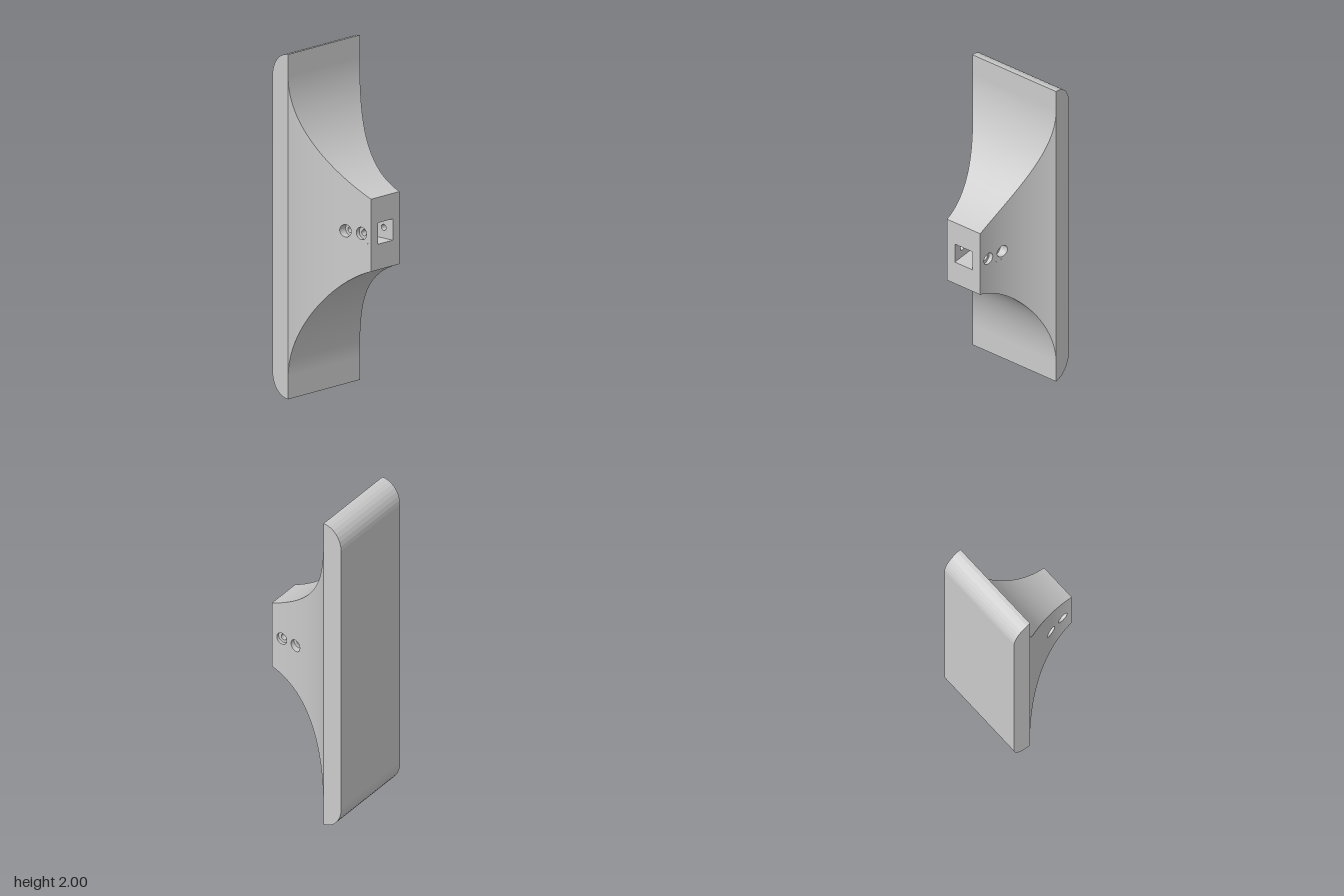
import * as THREE from 'three';
import { ParametricGeometry } from 'three/addons/geometries/ParametricGeometry.js';

const MID = 1;                          // height of the symmetry plane
const FRONT = 0.295, JOINT = -0.175;    // neck runs between these z values
const HALF = 0.295;                     // half width of the plate
const SOCKET = 0.062, SOCKET_END = 0.02;
const BORE = 0.036, SCREW = 0.018, BORE_FLOOR = 0.1;
const HOLES = [0.12, 0.225], CELL = 0.0525;

// Circular sweeps giving the neck's half width and half height at depth z
const halfWidth = z => 0.117 + 0.7095 - Math.sqrt(0.7095 ** 2 - (FRONT - z) ** 2);
const halfHeight = z => 0.87 - Math.sqrt(Math.max(0, 0.698 ** 2 - (0.523 - z) ** 2));
const lerp = THREE.MathUtils.lerp;

export function createModel() {
  const model = new THREE.Group();
  const solid = new THREE.MeshStandardMaterial({ color: 0xcccccc });
  const faceted = new THREE.MeshStandardMaterial({ color: 0xcccccc, flatShading: true });
  const open = new THREE.MeshStandardMaterial({ color: 0xcccccc, side: THREE.DoubleSide });

  const add = (name, geometry, material = open, parent = model) => {
    const mesh = new THREE.Mesh(geometry, material);
    mesh.name = name;
    parent.add(mesh);
    return mesh;
  };
  const patch = (name, fn, nu, nv, parent) =>
    add(name, new ParametricGeometry((u, v, p) => p.set(...fn(u, v)), nu, nv), open, parent);

  // Plate: flat front, rounded back edges at the top and bottom
  const profile = new THREE.Shape();
  const steps = 8;
  for (let i = 0; i <= steps; i++) {
    const a = (i / steps) * Math.PI / 2;
    const x = -JOINT + 0.12 * Math.sin(a), y = 1.86 + 0.14 * Math.cos(a);
    i ? profile.lineTo(x, y) : profile.moveTo(x, y);
  }
  for (let i = steps; i >= 0; i--) {
    const a = (i / steps) * Math.PI / 2;
    profile.lineTo(-JOINT + 0.12 * Math.sin(a), 0.14 - 0.14 * Math.cos(a));
  }
  const plate = new THREE.ExtrudeGeometry(profile, { depth: 2 * HALF, bevelEnabled: false });
  plate.translate(0, 0, -HALF).rotateY(Math.PI / 2);
  add('backPlate', plate, faceted);

  // Neck: curved top and underside
  const neck = new THREE.Group();
  neck.name = 'neck';
  model.add(neck);
  for (const s of [1, -1]) {
    patch(s > 0 ? 'neckTop' : 'neckUnderside', (u, v) => {
      // finer spacing towards the plate, where the curve is steepest
      const z = lerp(JOINT, FRONT, u * u);
      return [s * lerp(-1, 1, v) * halfWidth(z), MID + s * halfHeight(z), z];
    }, 40, 4, neck);
  }

  // Neck sides with counterbored screw holes
  for (const s of [1, -1]) {
    const side = new THREE.Group();
    side.name = s > 0 ? 'leftSide' : 'rightSide';
    neck.add(side);

    // Strip between two depths and two heights, the heights being functions of z
    const strip = (z0, z1, low, high, n) => patch('sidePanel', (u, v) => {
      const t = v * v, z = lerp(z0, z1, t);
      return [s * halfWidth(z), MID + lerp(low(z), high(z), s > 0 ? u : 1 - u), z];
    }, 6, n, side);
    const top = halfHeight, bottom = z => -halfHeight(z);
    const zA = HOLES[0] - CELL, zB = HOLES[1] + CELL;
    strip(JOINT, zA, bottom, top, 28);
    strip(zA, zB, () => CELL, top, 14);
    strip(zA, zB, bottom, () => -CELL, 14);
    strip(zB, FRONT, bottom, top, 2);

    for (const hz of HOLES) {
      // Square panel around a round hole, bent to the side's curve
      patch('holeSurround', (u, v) => {
        const a = v * Math.PI * 2, c = Math.cos(a), d = Math.sin(a);
        const edge = CELL / Math.max(Math.abs(c), Math.abs(d));
        const r = lerp(BORE, edge, s > 0 ? u : 1 - u);
        const z = hz + r * d;
        return [s * halfWidth(z), MID + r * c, z];
      }, 3, 48, side);

      // Counterbore wall, its floor and the narrow screw hole
      patch('counterboreWall', (u, v) => {
        const a = (s > 0 ? u : 1 - u) * Math.PI * 2;
        const z = hz + BORE * Math.sin(a);
        return [s * lerp(halfWidth(z), BORE_FLOOR, v), MID + BORE * Math.cos(a), z];
      }, 48, 1, side);
      const floor = new THREE.RingGeometry(SCREW, BORE, 32).rotateY(s * Math.PI / 2);
      add('counterboreFloor', floor, open, side).position.set(s * BORE_FLOOR, MID, hz);
      const length = BORE_FLOOR - SOCKET;
      const hole = new THREE.CylinderGeometry(SCREW, SCREW, length, 32, 1, true).rotateZ(Math.PI / 2);
      add('screwHole', hole, open, side).position.set(s * (SOCKET + length / 2), MID, hz);
    }
  }

  // Front face with a square opening
  const rectangle = (Type, w, h) => new Type([
    new THREE.Vector2(-w, -h), new THREE.Vector2(w, -h),
    new THREE.Vector2(w, h), new THREE.Vector2(-w, h)]);
  const face = rectangle(THREE.Shape, halfWidth(FRONT), halfHeight(FRONT));
  face.holes.push(rectangle(THREE.Path, SOCKET, SOCKET));
  add('frontFace', new THREE.ShapeGeometry(face), solid).position.set(0, MID, FRONT);

  // Square socket behind the opening
  const socket = new THREE.Group();
  socket.name = 'socket';
  socket.position.y = MID;
  model.add(socket);
  const depth = FRONT - SOCKET_END, centre = (FRONT + SOCKET_END) / 2;
  add('socketEnd', new THREE.PlaneGeometry(2 * SOCKET, 2 * SOCKET), open, socket).position.z = SOCKET_END;
  for (const s of [1, -1]) {
    const flat = new THREE.PlaneGeometry(2 * SOCKET, depth).rotateX(s * Math.PI / 2);
    add(s > 0 ? 'socketRoof' : 'socketFloor', flat, open, socket).position.set(0, s * SOCKET, centre);

    // Side wall pierced by the screw holes
    const wall = rectangle(THREE.Shape, depth / 2, SOCKET);
    for (const hz of HOLES) {
      wall.holes.push(new THREE.Path().absarc(s * (hz - centre), 0, SCREW, 0, Math.PI * 2));
    }
    const wallGeometry = new THREE.ShapeGeometry(wall, 24).rotateY(-s * Math.PI / 2);
    add('socketWall', wallGeometry, open, socket).position.set(s * SOCKET, 0, centre);
  }

  return model;
}
